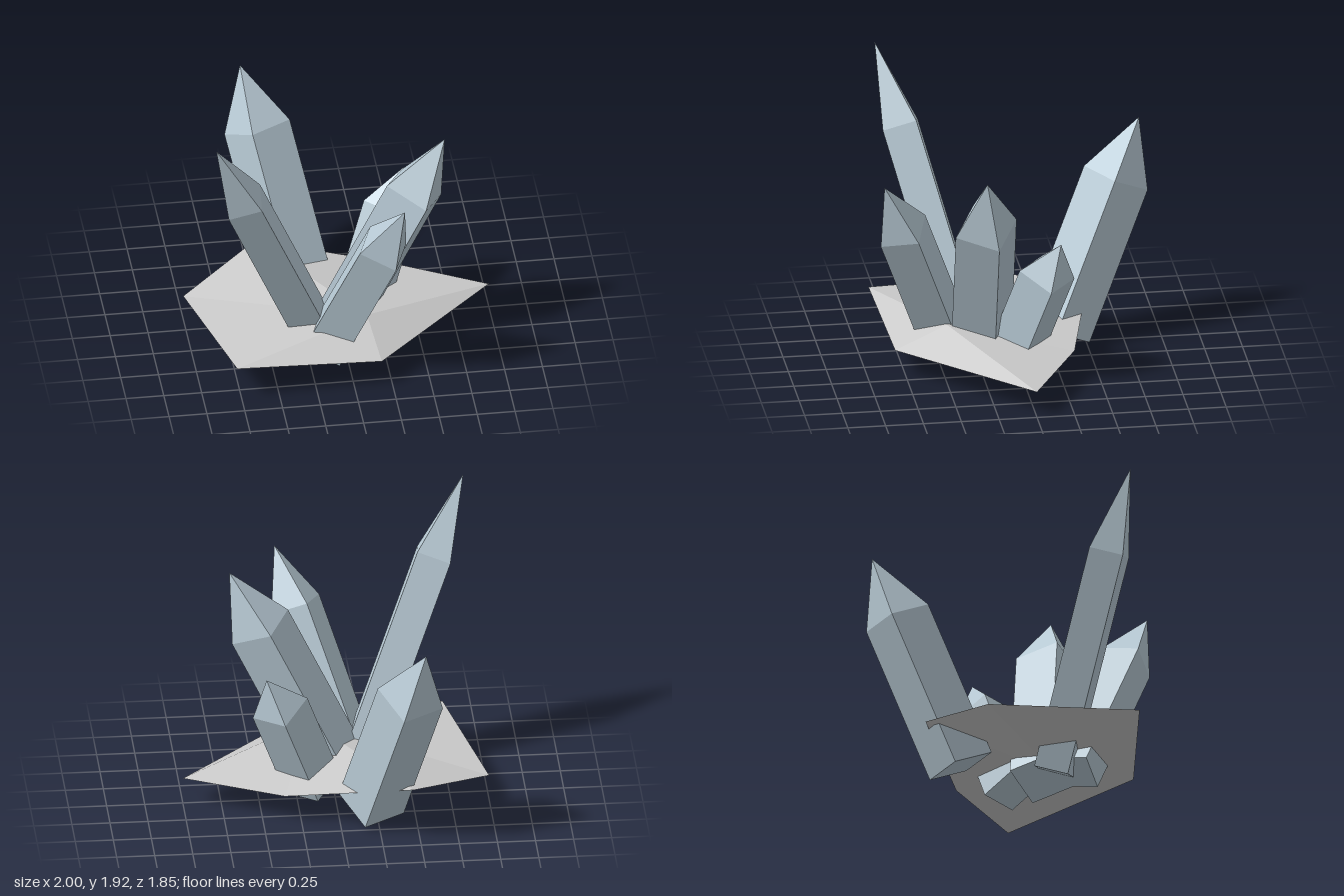
import * as THREE from 'three';
import { ConvexGeometry } from 'three/addons/geometries/ConvexGeometry.js';

const V = (a) => new THREE.Vector3(...a);

// Square prism with a pyramid point; corner is the offset from the axis to one edge
function crystal(name, bottom, shoulder, tip, corner, material) {
  const b = V(bottom), s = V(shoulder), p = V(corner);
  const axis = s.clone().sub(b).normalize();
  p.addScaledVector(axis, -p.dot(axis));
  const q = axis.clone().cross(p);
  const points = [V(tip)];
  for (const centre of [b, s]) {
    for (const offset of [p, q]) {
      points.push(centre.clone().add(offset), centre.clone().sub(offset));
    }
  }
  const mesh = new THREE.Mesh(new ConvexGeometry(points), material);
  mesh.name = name;
  return mesh;
}

// Thin faceted slab: an uneven rim fanned to a top peak and an underside point
function rockBase(material) {
  const rim = [
    [1, 0.18, 0], [0.36, 0.19, -0.34], [-0.47, 0.3, -0.54],
    [-1, 0.18, -0.13], [-0.78, 0.24, 0.86], [0.18, 0.185, 0.82],
  ];
  const peak = [0.13, 0.325, 0.47], under = [0.1, 0.2, 0.3];
  const positions = [];
  rim.forEach((r, i) => {
    const next = rim[(i + 1) % rim.length];
    positions.push(...peak, ...r, ...next, ...under, ...next, ...r);
  });
  const geometry = new THREE.BufferGeometry();
  geometry.setAttribute('position', new THREE.Float32BufferAttribute(positions, 3));
  geometry.computeVertexNormals();
  const mesh = new THREE.Mesh(geometry, material);
  mesh.name = 'rockBase';
  return mesh;
}

export function createModel() {
  const group = new THREE.Group();
  group.name = 'crystalCluster';
  const stone = new THREE.MeshStandardMaterial({ color: 0xcccccc, flatShading: true, side: THREE.DoubleSide });
  const gem = new THREE.MeshStandardMaterial({ color: 0xb9cbd6, flatShading: true });

  group.add(rockBase(stone));

  // name, bottom centre, shoulder centre, tip, corner offset
  const crystals = [
    ['tallCrystal', [-0.17, 0.08, 0.3], [-0.705, 1.41, 0.66], [-0.91, 1.92, 0.8], [0.115, 0.07, -0.09]],
    ['backCrystal', [-0.21, 0.1, -0.31], [-0.43, 1.065, -0.725], [-0.52, 1.45, -0.89], [0.21, 0.065, 0.035]],
    ['frontCrystal', [-0.13, 0.095, 0.43], [0.195, 1.035, 0.77], [0.32, 1.4, 0.91], [0.165, -0.025, -0.08]],
    ['sideCrystal', [-0.04, 0.09, 0.22], [0.47, 1.135, 0.26], [0.67, 1.53, 0.28], [0.19, -0.085, -0.06]],
    ['smallCrystal', [0.145, 0.095, 0.03], [0.375, 0.745, -0.155], [0.47, 0.99, -0.235], [0.175, -0.075, 0]],
  ];
  for (const c of crystals) group.add(crystal(...c, gem));
  return group;
}
